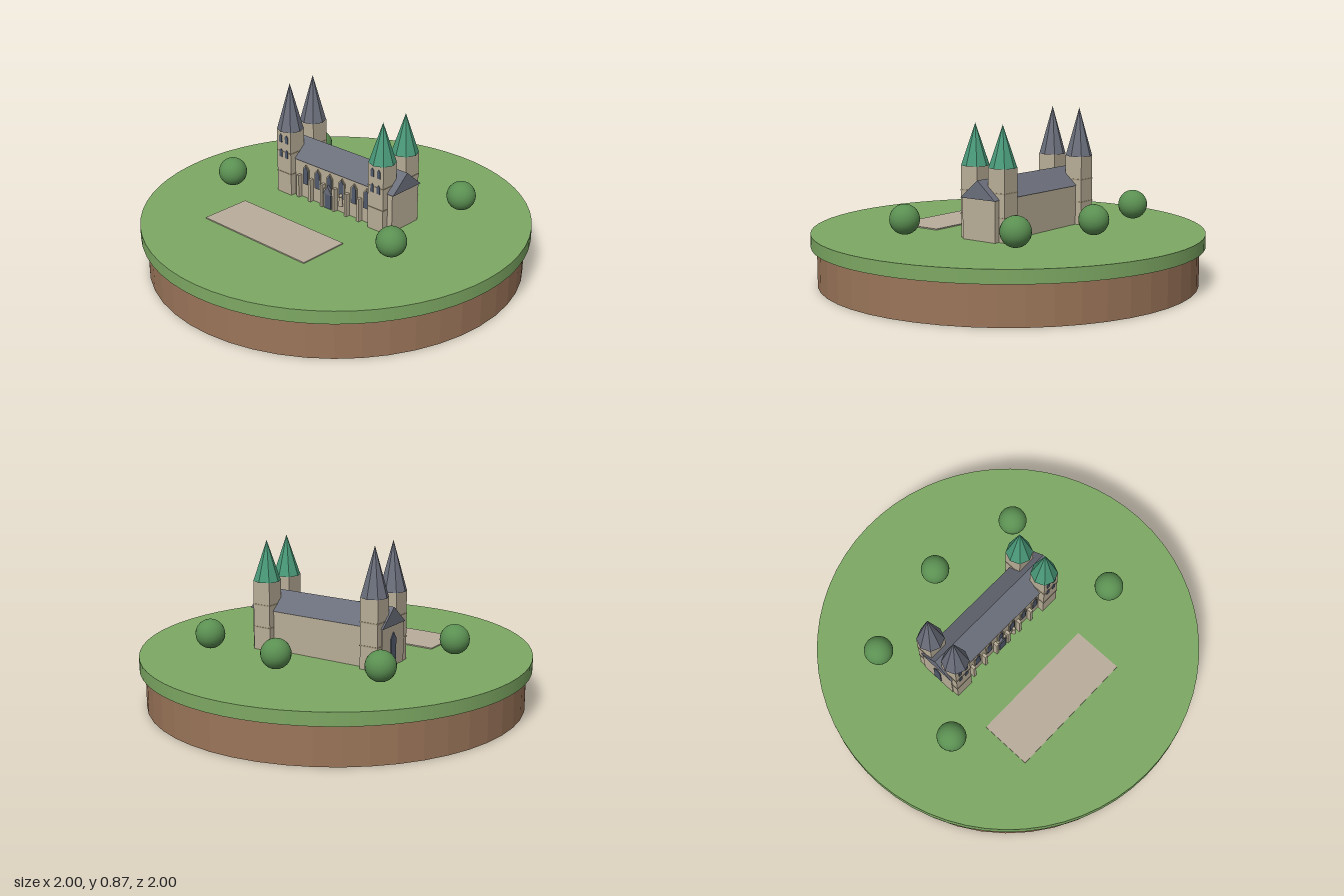
import * as THREE from 'three';

const mat = (name, color, extra = {}) => {
  const m = new THREE.MeshStandardMaterial({ color, ...extra });
  m.name = name;
  return m;
};

export function createModel() {
  const model = new THREE.Group();
  const M = {
    grass: mat('grass', 0x7da863),
    soil: mat('soil', 0x9b7559, { flatShading: true }),
    stone: mat('stone', 0xb9ae98),
    trim: mat('trim', 0xa3987f),
    slate: mat('slate', 0x6b6f7b, { flatShading: true }),
    copper: mat('copper', 0x4a9a7a, { flatShading: true }),
    glass: mat('glass', 0x525b6d),
    leaves: mat('leaves', 0x5b9052),
    paving: mat('paving', 0xb9ae9c),
  };
  const G = 0.267; // ground height

  const add = (parent, name, geometry, material, x = 0, y = 0, z = 0) => {
    const mesh = new THREE.Mesh(geometry, material);
    mesh.name = name;
    mesh.position.set(x, y, z);
    parent.add(mesh);
    return mesh;
  };
  // Box whose y is its underside
  const box = (parent, name, material, w, h, d, x, y, z) =>
    add(parent, name, new THREE.BoxGeometry(w, h, d), material, x, y + h / 2, z);
  // Upright outline with a pointed top, centred on x and standing on y = 0
  const pointed = (w, h, tip) => new THREE.Shape([
    new THREE.Vector2(-w / 2, 0), new THREE.Vector2(w / 2, 0),
    new THREE.Vector2(w / 2, h - tip), new THREE.Vector2(0, h), new THREE.Vector2(-w / 2, h - tip)]);
  const plate = (shape, depth) => new THREE.ExtrudeGeometry(shape, { depth, bevelEnabled: false });
  const triangle = (w, h) => new THREE.Shape([
    new THREE.Vector2(-w / 2, 0), new THREE.Vector2(w / 2, 0), new THREE.Vector2(0, h)]);

  // Round island
  add(model, 'soil', new THREE.CylinderGeometry(0.97, 0.97, 0.2, 48), M.soil, 0, 0.1, 0);
  add(model, 'lawn', new THREE.CylinderGeometry(1, 1, G - 0.2, 64), M.grass, 0, (G + 0.2) / 2, 0);

  // Paved square
  const turn = -0.35;
  const square = box(model, 'square', M.paving, 0.7, 0.006, 0.272, -0.2, G, 0.333);
  square.rotation.y = turn;

  // Round trees
  const trees = [[-0.617, -0.043], [-0.35, -0.573], [0.175, -0.493], [0.597, -0.23], [0.447, 0.383]];
  for (const [x, z] of trees)
    add(model, 'tree', new THREE.SphereGeometry(0.075, 24, 16), M.leaves, x, 0.365, z);

  // Church, turned on the lawn
  const church = new THREE.Group();
  church.name = 'church';
  church.position.set(0.009, G, -0.113);
  church.rotation.y = turn;
  model.add(church);

  // Nave and its gabled roof
  box(church, 'nave', M.stone, 0.775, 0.208, 0.2, 0.0125, 0, 0);
  const roof = add(church, 'naveRoof', plate(triangle(0.212, 0.092), 0.79), M.slate, -0.38, 0.204, 0);
  roof.rotation.y = Math.PI / 2;

  // Towers with eight-sided spires
  for (const sx of [-1, 1]) for (const sz of [-1, 1]) {
    const tower = new THREE.Group();
    tower.name = sx < 0 ? 'westTower' : 'eastTower';
    tower.position.set(sx * 0.32, 0, sz * 0.085);
    church.add(tower);
    box(tower, 'towerBody', M.stone, 0.1, 0.357, 0.1, 0, 0, 0);
    for (const y of [0.115, 0.232])
      box(tower, 'towerBand', M.trim, 0.104, 0.006, 0.104, 0, y, 0);
    const h = sx < 0 ? 0.25 : 0.208;
    add(tower, 'spire', new THREE.ConeGeometry(0.07, h, 8), sx < 0 ? M.slate : M.copper, 0, 0.355 + h / 2, 0);
    if (sz > 0) for (const y of [0.205, 0.288]) for (const x of [-0.021, 0.021])
      add(tower, 'towerWindow', plate(pointed(0.019, 0.046, 0.01), 0.004), M.glass, x, y, 0.05);
  }

  // Front bays: buttresses and pointed windows
  for (let i = 0; i < 6; i++) {
    const x = -0.19 + i * 0.085;
    box(church, 'buttress', M.stone, 0.016, 0.125, 0.026, x - 0.042, 0, 0.112);
    add(church, 'windowFrame', plate(pointed(0.042, 0.112, 0.024), 0.006), M.trim, x, 0.078, 0.1);
    add(church, 'window', plate(pointed(0.03, 0.1, 0.02), 0.008), M.glass, x, 0.082, 0.1);
  }

  // Door with a small gable
  box(church, 'doorFrame', M.trim, 0.062, 0.105, 0.016, -0.02, 0, 0.108);
  box(church, 'door', M.glass, 0.046, 0.095, 0.004, -0.02, 0, 0.118);
  add(church, 'doorGable', plate(triangle(0.06, 0.05), 0.022), M.slate, -0.02, 0.08, 0.1);

  // Small wall figure
  add(church, 'figureBody', new THREE.CylinderGeometry(0.008, 0.012, 0.05, 10), M.stone, 0.068, 0.068, 0.115);
  add(church, 'figureHead', new THREE.SphereGeometry(0.009, 10, 8), M.stone, 0.068, 0.1, 0.115);

  // West window between the towers
  const west = add(church, 'westWindow', plate(pointed(0.045, 0.14, 0.03), 0.006), M.glass, -0.374, 0.03, 0);
  west.rotation.y = -Math.PI / 2;

  return model;
}
